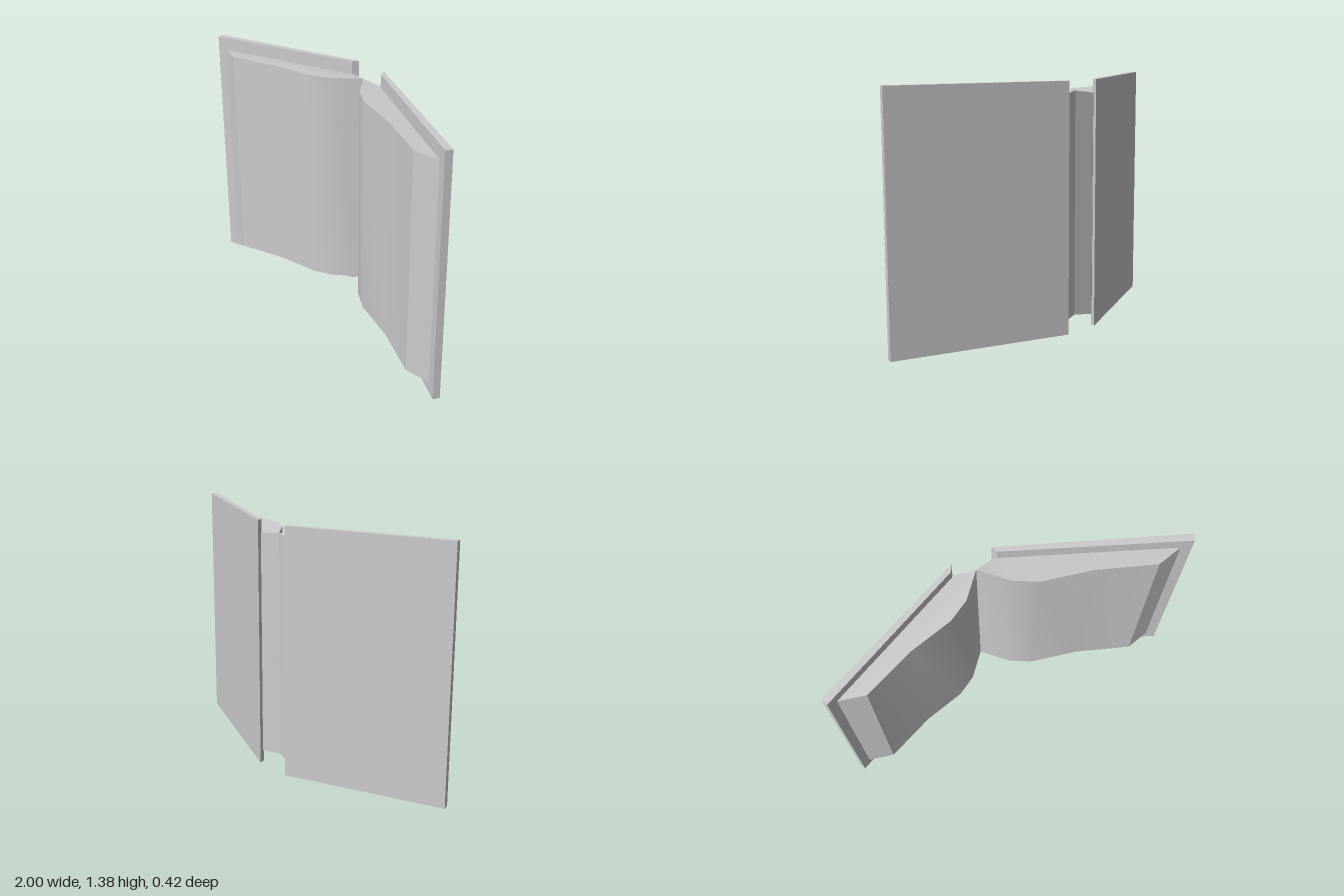
import * as THREE from 'three';
import { toCreasedNormals } from 'three/addons/utils/BufferGeometryUtils.js';

const COVER_HEIGHT = 1.385;
const PAGE_BOTTOM = 0.063;
const PAGE_HEIGHT = 1.248;

// Upright prism from plan points [x, z, lift]; lift raises the column at that corner.
function prism(points, bottom, height) {
  const shape = new THREE.Shape(points.map(([x, z]) => new THREE.Vector2(x, -z)));
  const geometry = new THREE.ExtrudeGeometry(shape, { depth: height, bevelEnabled: false });
  geometry.rotateX(-Math.PI / 2);
  geometry.translate(0, bottom, 0);
  const pos = geometry.attributes.position;
  for (let i = 0; i < pos.count; i++) {
    const corner = points.find(([x, z]) => Math.hypot(pos.getX(i) - x, pos.getZ(i) - z) < 1e-4);
    pos.setY(i, pos.getY(i) + (corner?.[2] ?? 0));
  }
  return toCreasedNormals(geometry, 0.5);
}

export function createModel() {
  const book = new THREE.Group();
  book.name = 'openBook';
  const material = new THREE.MeshStandardMaterial({ color: 0xcccccc });
  const add = (name, geometry) => {
    const mesh = new THREE.Mesh(geometry, material);
    mesh.name = name;
    book.add(mesh);
  };

  // Two flat cover boards, opened in a wide V
  add('rightCover', prism([[-1, 0.157], [-0.984, 0.193], [-0.178, -0.175], [-0.162, -0.21]], 0, COVER_HEIGHT));
  add('leftCover', prism([[1, 0.157], [0.986, 0.193], [0.072, -0.175], [0.057, -0.21]], 0, COVER_HEIGHT));

  // Page blocks, meeting in the gutter between the covers
  const gutter = [-0.053, -0.156, 0.015];
  add('rightPages', prism([
    [-0.94, 0.171, 0], [-0.797, 0.207, 0.005], [-0.52, 0.096, 0.008], [-0.278, 0.037, 0.013],
    [-0.166, -0.027, 0.015], gutter, [-0.17, -0.183, 0],
  ], PAGE_BOTTOM, PAGE_HEIGHT));
  add('leftPages', prism([
    [0.93, 0.171, 0], [0.79, 0.207, 0.005], [0.48, 0.096, 0.008], [0.203, 0.037, 0.013],
    [0.08, -0.027, 0.015], gutter, [0.068, -0.183, 0],
  ], PAGE_BOTTOM, PAGE_HEIGHT));

  return book;
}
